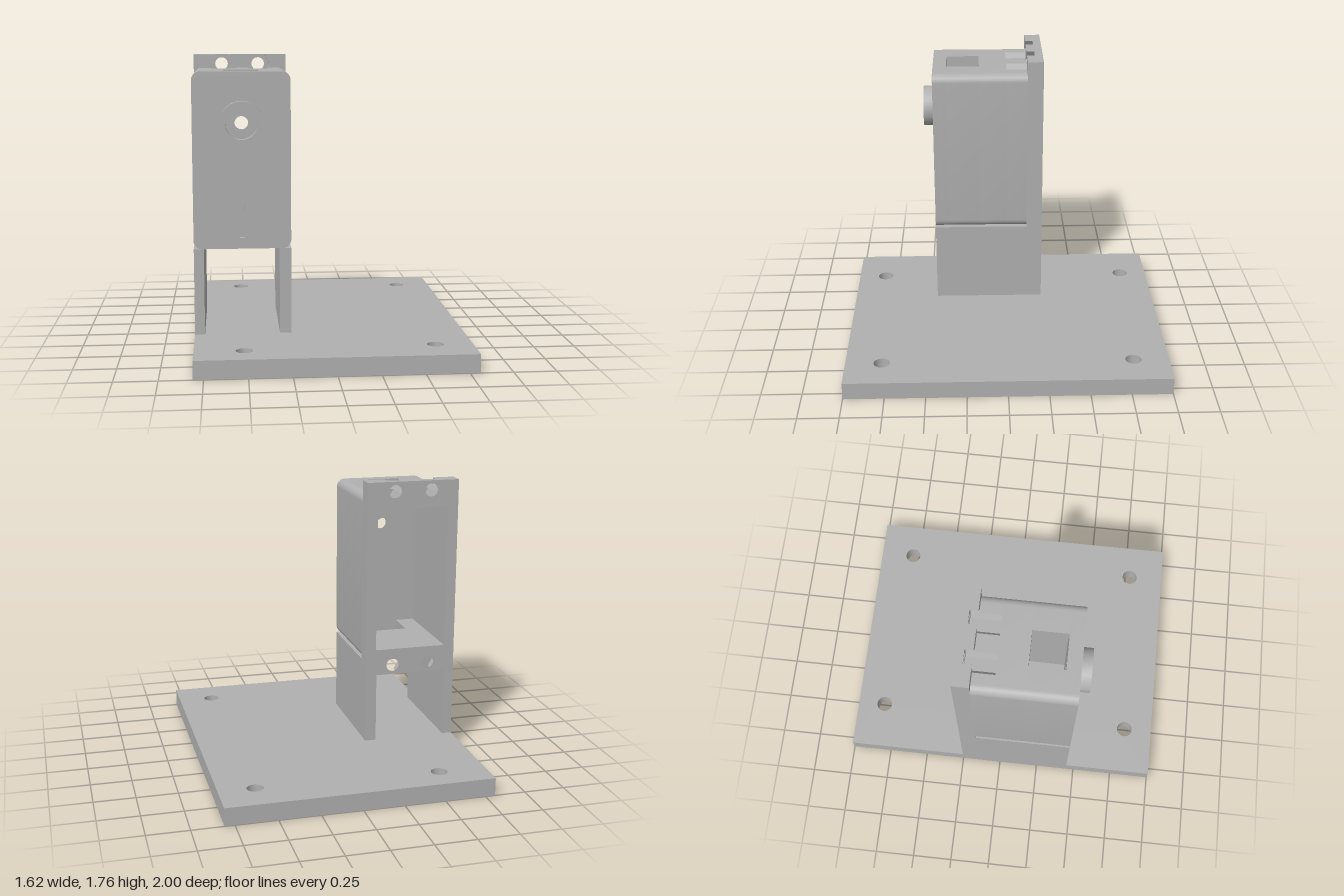
import * as THREE from 'three';
import { toCreasedNormals } from 'three/addons/utils/BufferGeometryUtils.js';

const CX = -0.52, CY = 1.155;          // centre of the housing
const HALF_W = 0.29, FLANGE_H = 0.61, BOX_H = 0.525, RADIUS = 0.05;
const NUT_X = 0.115, NUT_Y = 0.55, NUT_R = 0.075, NUT_FLAT = 0.065;
const IN_W = 0.225, IN_H = 0.445, WINDOW = 0.105;

export function createModel() {
  const model = new THREE.Group();
  const grey = new THREE.MeshStandardMaterial({ color: 0xb0b0b0 });

  function add(name, geometry, parent = model) {
    const mesh = new THREE.Mesh(geometry, grey);
    mesh.name = name;
    parent.add(mesh);
    return mesh;
  }

  // Extrudes a shape along z between two depths
  function slab(shape, z0, z1) {
    const g = new THREE.ExtrudeGeometry(shape, { depth: z1 - z0, bevelEnabled: false, curveSegments: 12 });
    g.translate(0, 0, z0);
    return toCreasedNormals(g, 0.5);
  }

  const circle = (x, y, r) => new THREE.Path().absarc(x, y, r, 0, Math.PI * 2, true);

  function rectangle(x0, x1, y0, y1, PathType = THREE.Path) {
    return new PathType().setFromPoints([
      new THREE.Vector2(x0, y0), new THREE.Vector2(x1, y0),
      new THREE.Vector2(x1, y1), new THREE.Vector2(x0, y1), new THREE.Vector2(x0, y0)]);
  }

  // Points of one hexagonal nut slot cut into a top edge at height h, left to right
  function nutNotch(cx, h) {
    const edge = NUT_R - Math.abs(h - NUT_Y) / Math.sqrt(3);
    const half = [[edge, h]];
    if (h > NUT_Y) half.push([NUT_R, NUT_Y]);
    half.push([NUT_R / 2, NUT_Y - NUT_FLAT]);
    return [...half.map(([x, y]) => [cx - x, y]), ...half.reverse().map(([x, y]) => [cx + x, y])];
  }

  // Symmetric outline with optional round corners and nut slots
  function outline(h, r, notched) {
    const s = new THREE.Shape();
    const top = notched ? [...nutNotch(-NUT_X, h), ...nutNotch(NUT_X, h)] : [];
    s.moveTo(-HALF_W, 0);
    s.lineTo(-HALF_W, h - r);
    if (r) s.absarc(-HALF_W + r, h - r, r, Math.PI, Math.PI / 2, true);
    top.forEach(([x, y]) => s.lineTo(x, y));
    s.lineTo(HALF_W - r, h);
    if (r) s.absarc(HALF_W - r, h - r, r, Math.PI / 2, 0, true);
    s.lineTo(HALF_W, -h + r);
    if (r) s.absarc(HALF_W - r, -h + r, r, 0, -Math.PI / 2, true);
    top.reverse().forEach(([x, y]) => s.lineTo(x, -y));
    s.lineTo(-HALF_W + r, -h);
    if (r) s.absarc(-HALF_W + r, -h + r, r, -Math.PI / 2, -Math.PI, true);
    s.closePath();
    return s;
  }

  function withHoles(shape, ...holes) {
    shape.holes.push(...holes);
    return shape;
  }

  const cavity = () => rectangle(-IN_W, IN_W, -IN_H, IN_H);

  // Base plate with four screw holes (drawn in x and -z, laid flat)
  const plate = withHoles(rectangle(-0.81, 0.81, -1, 1, THREE.Shape),
    ...[[-0.52, 0.825], [0.59, 0.78], [-0.52, -0.82], [0.59, -0.775]].map(([x, y]) => circle(x, y, 0.05)));
  add('basePlate', slab(plate, 0, 0.11).rotateX(-Math.PI / 2));

  // Two upright side walls carrying the housing
  for (const [name, x0, x1] of [['rightLeg', -0.81, -0.75], ['leftLeg', -0.30, -0.23]]) {
    const leg = add(name, new THREE.BoxGeometry(x1 - x0, 0.52, 0.70));
    leg.position.set((x0 + x1) / 2, 0.37, 0.10);
  }

  const housing = new THREE.Group();
  housing.name = 'housing';
  housing.position.set(CX, CY, 0);
  model.add(housing);

  // Rear flange: bolt holes behind, nut slots in front
  const bolts = [];
  for (const x of [-NUT_X, NUT_X]) for (const y of [-NUT_Y, NUT_Y]) bolts.push(circle(x, y, 0.04));
  add('flangeBack', slab(withHoles(outline(FLANGE_H, 0, false), cavity(), ...bolts), -0.25, -0.20), housing);
  add('flangeNutSlots', slab(withHoles(outline(FLANGE_H, 0, true), cavity()), -0.20, -0.15), housing);

  // Hollow body, with nut slots at its rear
  add('bodyNutSlots', slab(withHoles(outline(BOX_H, RADIUS, true), cavity()), -0.15, -0.02), housing);
  add('bodyShell', slab(withHoles(outline(BOX_H, RADIUS, false), cavity()), -0.02, 0.155), housing);

  // Body sides beside the square windows in the roof and floor
  for (const side of [-1, 1]) {
    const s = new THREE.Shape();
    s.moveTo(WINDOW, BOX_H);
    s.lineTo(HALF_W - RADIUS, BOX_H);
    s.absarc(HALF_W - RADIUS, BOX_H - RADIUS, RADIUS, Math.PI / 2, 0, true);
    s.lineTo(HALF_W, -BOX_H + RADIUS);
    s.absarc(HALF_W - RADIUS, -BOX_H + RADIUS, RADIUS, 0, -Math.PI / 2, true);
    [[WINDOW, -BOX_H], [WINDOW, -IN_H], [IN_W, -IN_H], [IN_W, IN_H], [WINDOW, IN_H]]
      .forEach(([x, y]) => s.lineTo(x, y));
    s.closePath();
    const points = s.getPoints(12).map((p) => new THREE.Vector2(p.x * side, p.y));
    add(side > 0 ? 'leftWindowWall' : 'rightWindowWall', slab(new THREE.Shape(points), 0.155, 0.365), housing);
  }

  // Front wall with the eye hole and a shallow vertical groove
  const EYE_Y = 1.38 - CY;
  const groove = rectangle(-0.015, 0.015, 0.695 - CY, 1.075 - CY);
  add('frontWall', slab(withHoles(outline(BOX_H, RADIUS, false), circle(0, EYE_Y, 0.04)), 0.365, 0.42), housing);
  add('frontFace', slab(withHoles(outline(BOX_H, RADIUS, false), circle(0, EYE_Y, 0.04), groove), 0.42, 0.45), housing);

  // Raised collar around the eye hole
  const collar = new THREE.Shape().absarc(0, EYE_Y, 0.13, 0, Math.PI * 2, false);
  add('collar', slab(withHoles(collar, circle(0, EYE_Y, 0.095)), 0.45, 0.515), housing);

  return model;
}
